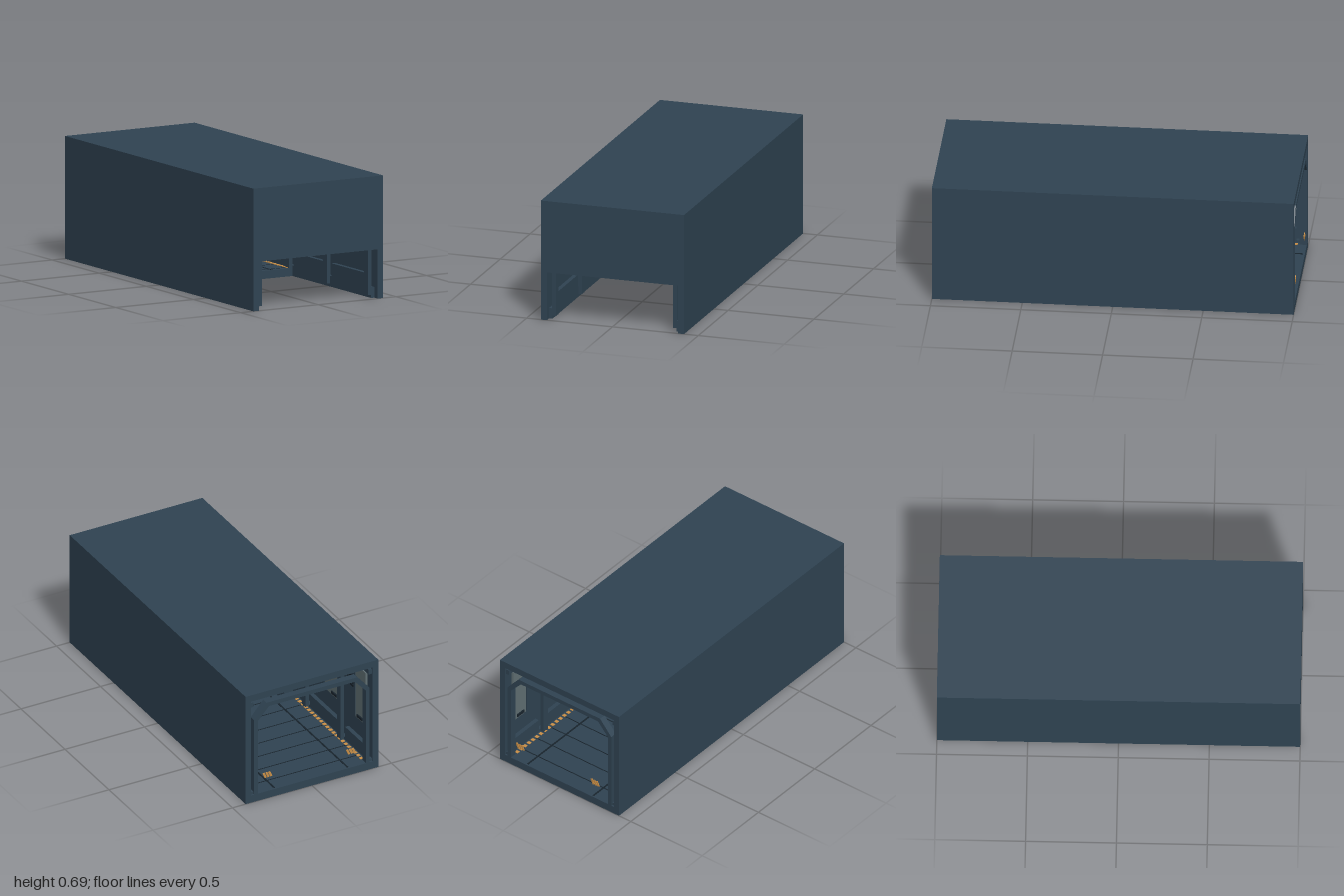
import * as THREE from 'three';

export function createModel() {
  const root = new THREE.Group();
  root.name = 'corridorModule';
  const mat = (name, color, side = THREE.FrontSide) => {
    const m = new THREE.MeshStandardMaterial({ color, side });
    m.name = name;
    return m;
  };
  const hull = mat('hullBlue', 0x2f4352);
  const grey = mat('panelGrey', 0x606f73);
  const dark = mat('darkTrim', 0x18232c);
  const amber = mat('hazardAmber', 0xc98f47, THREE.DoubleSide);

  const add = (name, geo, m, x = 0, y = 0, z = 0, parent = root) => {
    const mesh = new THREE.Mesh(geo, m);
    mesh.name = name;
    mesh.position.set(x, y, z);
    parent.add(mesh);
    return mesh;
  };
  // box given by its limits on each axis
  const box = (name, m, x0, x1, y0, y1, z0, z1, parent = root) =>
    add(name, new THREE.BoxGeometry(Math.abs(x1 - x0), y1 - y0, z1 - z0), m,
      (x0 + x1) / 2, (y0 + y1) / 2, (z0 + z1) / 2, parent);

  // outer shell: open at the back, floor only under the rear part
  const FLOOR_END = 0.13;
  box('roof', hull, -0.417, 0.417, 0.645, 0.685, -1, 1);
  box('frontWall', hull, -0.417, 0.417, 0.275, 0.645, 0.965, 1);
  box('floor', hull, -0.382, 0.382, 0, 0.045, -1, FLOOR_END);
  for (const s of [-1, 1]) box('sideWall', hull, s * 0.382, s * 0.417, 0, 0.645, -1, 1);

  // floor seams
  for (let z = -0.9; z < FLOOR_END; z += 0.125)
    box('floorSeam', dark, -0.34, 0.34, 0.045, 0.046, z - 0.003, z + 0.003);
  for (const x of [-0.23, 0.23])
    box('floorChannel', dark, x - 0.005, x + 0.005, 0.045, 0.0465, -0.99, FLOOR_END);

  // chamfered ribs
  const outer = [[0.363, 0.018], [0.363, 0.52], [0.285, 0.61]];
  const inner = [[0.27, 0.585], [0.34, 0.508], [0.34, 0.018]];
  const flip = (pts) => pts.map(([x, y]) => [-x, y]).reverse();
  const ribShape = new THREE.Shape(
    [...outer, ...flip(outer), ...flip(inner), ...inner].map(([x, y]) => new THREE.Vector2(x, y)));
  const RIB = 0.04;
  const ribGeo = new THREE.ExtrudeGeometry(ribShape, { depth: RIB, bevelEnabled: false });
  const ribs = [-0.98, -0.69, -0.29, 0.11, 0.51, 0.945];
  for (const z of ribs) add('rib', ribGeo, hull, 0, 0, z - RIB / 2);

  // wall fittings in each bay, mirrored on both sides
  for (const s of [-1, 1]) {
    box('kickRail', hull, s * 0.362, s * 0.382, 0, 0.06, -0.99, 0.965);
    box('upperRail', hull, s * 0.362, s * 0.382, 0.6, 0.63, -0.99, 0.965);
    for (let i = 0; i < ribs.length - 1; i++) {
      const a = ribs[i] + 0.04, b = ribs[i + 1] - 0.04, mid = a + (b - a) * 0.54;
      box('lowerPanel', hull, s * 0.358, s * 0.382, 0.06, 0.133, a, b);
      box('upperPanel', grey, s * 0.37, s * 0.382, 0.247, 0.58, a, mid);
      box('ventPanel', hull, s * 0.372, s * 0.382, 0.247, 0.58, mid + 0.01, b);
      for (let k = 0; k < 4; k++)
        box('ventSlat', dark, s * 0.364, s * 0.372, 0.425 + k * 0.019, 0.438 + k * 0.019, mid + 0.02, b - 0.01);
      box('wallPort', dark, s * 0.362, s * 0.37, 0.26, 0.275, a + 0.03, a + 0.09);
    }
    // amber dashes along the floor edge
    for (let z = -0.95; z < FLOOR_END - 0.02; z += 0.035)
      box('edgeDash', amber, s * 0.333, s * 0.353, 0.045, 0.048, z, z + 0.02);
    // inner lining of the front wall
    box('frontLining', grey, s * 0.12, s * 0.335, 0.29, 0.58, 0.957, 0.965);
  }
  box('frontSill', amber, -0.33, 0.33, 0.277, 0.284, 0.958, 0.965);

  // ceiling lamps between the ribs
  for (let i = 0; i < ribs.length - 1; i++) {
    const z = (ribs[i] + ribs[i + 1]) / 2 + 0.06;
    box('lampHousing', dark, -0.18, 0.01, 0.632, 0.645, z - 0.02, z + 0.02);
    box('lampStrip', amber, -0.165, -0.005, 0.626, 0.632, z - 0.008, z + 0.008);
  }

  // slanted hazard marks
  const bar = new THREE.Shape([[-0.013, -0.013], [-0.001, -0.018], [0.013, 0.013], [0.001, 0.018]]
    .map(([x, y]) => new THREE.Vector2(x, y)));
  const barGeo = new THREE.ExtrudeGeometry(bar, { depth: 0.004, bevelEnabled: false });
  const hazard = (x, y, z) => {
    for (let i = -1; i <= 1; i++) add('hazardMark', barGeo, amber, x + i * 0.0175, y, z);
  };
  hazard(-0.247, 0.147, -0.998);
  hazard(0.278, 0.147, -0.998);
  hazard(-0.07, 0.38, 0.958);

  // supply crate with an open lid
  const crate = new THREE.Group();
  crate.name = 'crate';
  root.add(crate);
  box('crateBody', grey, 0.225, 0.322, 0.045, 0.09, -0.31, -0.17, crate);
  box('crateInside', dark, 0.232, 0.315, 0.09, 0.092, -0.303, -0.177, crate);
  for (const x of [0.262, 0.308]) box('crateLatch', dark, x - 0.003, x + 0.003, 0.063, 0.09, -0.17, -0.165, crate);
  const lid = new THREE.Shape([[0.236, 0.09], [0.309, 0.09], [0.334, 0.125], [0.258, 0.125]]
    .map(([x, y]) => new THREE.Vector2(x, y)));
  add('crateLid', new THREE.ExtrudeGeometry(lid, { depth: 0.012, bevelEnabled: false }), dark, 0, 0, -0.2, crate);
  box('crateLidRim', hull, 0.257, 0.335, 0.122, 0.127, -0.203, -0.185, crate);

  // control console
  const desk = new THREE.Group();
  desk.name = 'console';
  root.add(desk);
  box('consoleBase', hull, -0.324, -0.27, 0.045, 0.112, -0.2, -0.06, desk);
  box('consoleTop', hull, -0.331, -0.261, 0.113, 0.123, -0.21, -0.05, desk).rotation.z = -0.2;
  box('consoleScreen', dark, -0.319, -0.311, 0.124, 0.158, -0.19, -0.07, desk).rotation.z = -0.2;
  box('consoleButtons', grey, -0.292, -0.284, 0.121, 0.125, -0.17, -0.09, desk).rotation.z = -0.2;

  return root;
}
